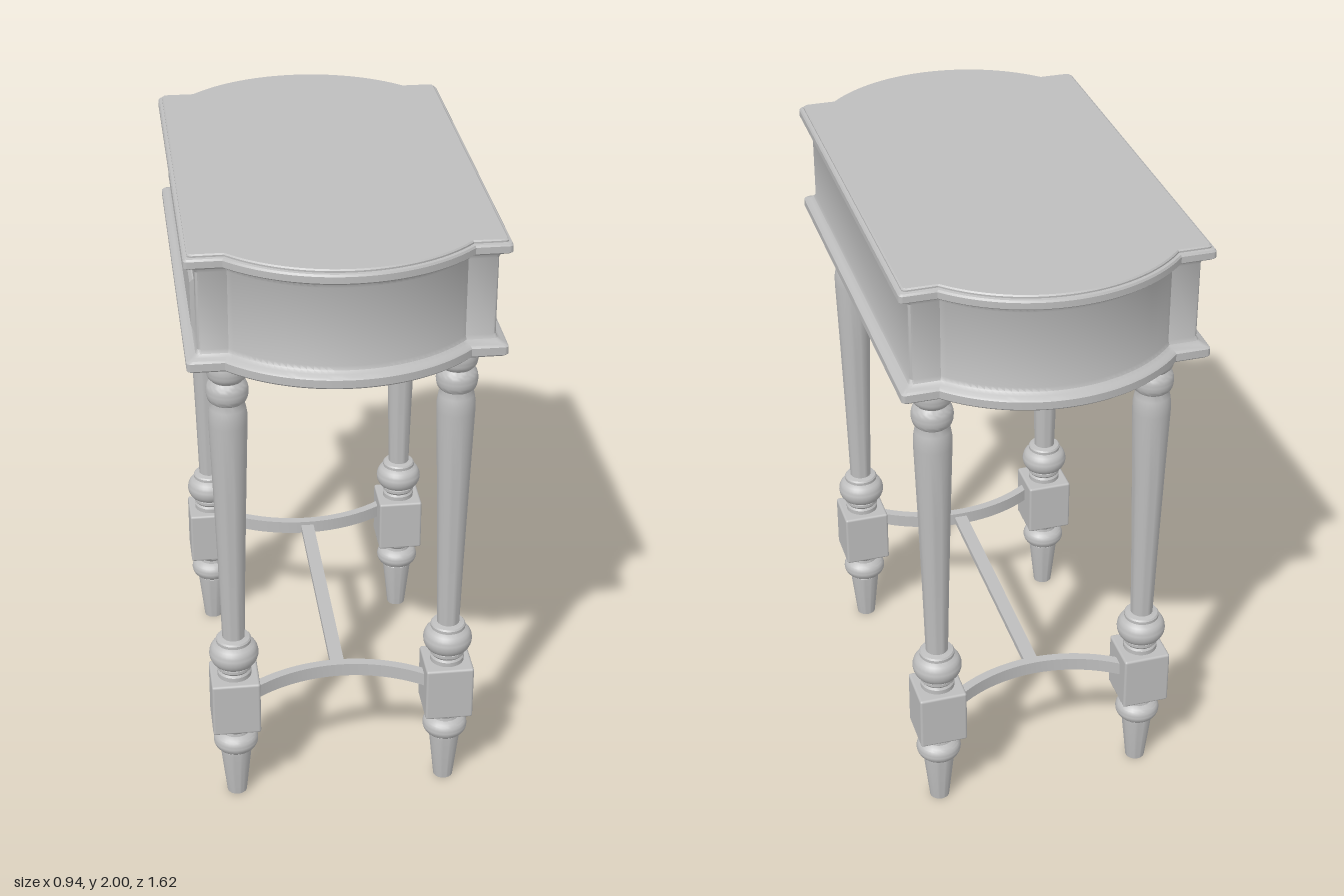
import * as THREE from 'three';
import { toCreasedNormals } from 'three/addons/utils/BufferGeometryUtils.js';
import { RoundedBoxGeometry } from 'three/addons/geometries/RoundedBoxGeometry.js';

const LEG_X = 0.346, LEG_Z = 0.52;

// Plan outline of the case, inset by d: a rectangle with a bowed arc at each end
function outline(d) {
  const w = 0.47 - d, l = 0.66 - d, r = 0.012;
  const R = 0.507 - d, zc = 0.303;
  const a0 = Math.asin((l - zc) / R);
  const half = [];
  for (let i = 0; i <= 4; i++) {
    const t = i / 4 * Math.PI / 2;
    half.push([w - r + r * Math.cos(t), l - r + r * Math.sin(t)]);
  }
  for (let i = 0; i <= 40; i++) {
    const t = a0 + (Math.PI - 2 * a0) * i / 40;
    half.push([R * Math.cos(t), zc + R * Math.sin(t)]);
  }
  for (let i = 0; i <= 4; i++) {
    const t = (1 + i / 4) * Math.PI / 2;
    half.push([-w + r + r * Math.cos(t), l - r + r * Math.sin(t)]);
  }
  return half.concat(half.map(([x, z]) => [-x, -z]));
}

// Stacks outlines along a moulding profile of [inset, height] and caps both ends
function mouldedCase(profile) {
  const pos = [], idx = [];
  const n = outline(0).length;
  for (const [d, y] of profile) for (const [x, z] of outline(d)) pos.push(x, y, z);
  const last = (profile.length - 1) * n, bottom = profile.length * n, top = bottom + 1;
  pos.push(0, profile[0][1], 0, 0, profile[profile.length - 1][1], 0);
  for (let i = 0; i < n; i++) {
    const j = (i + 1) % n;
    for (let k = 0; k < last; k += n) {
      idx.push(k + i, k + n + i, k + n + j, k + i, k + n + j, k + j);
    }
    idx.push(bottom, i, j, top, last + j, last + i);
  }
  const g = new THREE.BufferGeometry();
  g.setAttribute('position', new THREE.Float32BufferAttribute(pos, 3));
  g.setIndex(idx);
  return toCreasedNormals(g, 0.5);
}

// Lathe profile of a rounded bead
function bead(y0, y1, rNeck, rMax) {
  const pts = [];
  for (let i = 0; i <= 10; i++) {
    const t = i / 10;
    pts.push([rNeck + (rMax - rNeck) * Math.sqrt(Math.sin(Math.PI * Math.min(t, 1 - t))), y0 + (y1 - y0) * t]);
  }
  return pts;
}

function turned(points) {
  const g = new THREE.LatheGeometry(points.map(([r, y]) => new THREE.Vector2(r, y)), 32);
  return toCreasedNormals(g, 0.6);
}

export function createModel() {
  const model = new THREE.Group();
  model.name = 'sideTable';
  const grey = new THREE.MeshStandardMaterial({ color: 0xbdbdbd });
  grey.name = 'plain grey';

  const add = (name, geometry, parent = model) => {
    const mesh = new THREE.Mesh(geometry, grey);
    mesh.name = name;
    parent.add(mesh);
    return mesh;
  };

  // Table top, apron and lower moulding
  add('tableCase', mouldedCase([
    [0.006, 1.632], [0, 1.638], [0, 1.662], [0.006, 1.668], [0.018, 1.672], [0.028, 1.68],
    [0.033, 1.692], [0.033, 1.935], [0.028, 1.947], [0.018, 1.955], [0.006, 1.958],
    [0, 1.963], [0, 1.983], [0.004, 1.989], [0.012, 1.991], [0.012, 1.996], [0.016, 2.0],
  ]));

  // Raised drawer front on the -x side
  const w = 0.565, h = 0.068, panel = new THREE.Shape();
  panel.moveTo(-w, -h).lineTo(w, -h).lineTo(w, h).lineTo(-w, h).closePath();
  const drawer = add('drawerFront', new THREE.ExtrudeGeometry(panel, {
    depth: 0.01, bevelThickness: 0.008, bevelSize: 0.015, bevelSegments: 1,
  }));
  drawer.rotation.y = -Math.PI / 2;
  drawer.position.set(-0.431, 1.81, 0);

  // Turned legs with a square block
  const foot = turned([
    [0, 0], [0.032, 0], [0.05, 0.165], [0.05, 0.175], ...bead(0.178, 0.245, 0.046, 0.073),
    [0.044, 0.255], [0.05, 0.265], [0.06, 0.27], [0.06, 0.29],
  ]);
  const shaft = turned([
    [0.055, 0.46], [0.055, 0.485], [0.05, 0.492], [0.056, 0.5], [0.056, 0.51],
    ...bead(0.512, 0.594, 0.05, 0.079), [0.056, 0.597], [0.056, 0.607], [0.052, 0.612], [0.036, 0.616],
    [0.042, 0.85], [0.051, 1.15], [0.059, 1.39], [0.059, 1.42], [0.055, 1.445], [0.05, 1.462],
    ...bead(1.465, 1.535, 0.05, 0.064), [0.048, 1.538], ...bead(1.541, 1.612, 0.05, 0.063),
    [0.055, 1.616], [0.055, 1.64],
  ]);
  const block = new RoundedBoxGeometry(0.155, 0.19, 0.155, 2, 0.008);
  for (const sx of [-1, 1]) {
    for (const sz of [-1, 1]) {
      const leg = new THREE.Group();
      leg.name = (sz > 0 ? 'front' : 'back') + (sx > 0 ? 'Left' : 'Right') + 'Leg';
      leg.position.set(sx * LEG_X, 0, sz * LEG_Z);
      add('foot', foot, leg);
      add('legBlock', block, leg).position.y = 0.375;
      add('legShaft', shaft, leg);
      model.add(leg);
    }
  }

  // Curved stretchers bowing towards the middle
  const R = 0.4806, zc = 0.9256, a = Math.asin(0.28 / R), mid = -Math.PI / 2;
  const bow = new THREE.Shape();
  bow.absarc(0, zc, R + 0.015, mid - a, mid + a, false);
  bow.absarc(0, zc, R - 0.015, mid + a, mid - a, true);
  bow.closePath();
  const bowGeometry = toCreasedNormals(
    new THREE.ExtrudeGeometry(bow, { depth: 0.045, bevelEnabled: false, curveSegments: 24 })
      .rotateX(Math.PI / 2).translate(0, 0.428, 0), 0.6);
  add('frontStretcher', bowGeometry);
  add('backStretcher', bowGeometry).rotation.y = Math.PI;

  // Straight bar joining the two bows
  add('centreStretcher', new THREE.BoxGeometry(0.045, 0.02, 0.87)).position.y = 0.405;

  return model;
}
